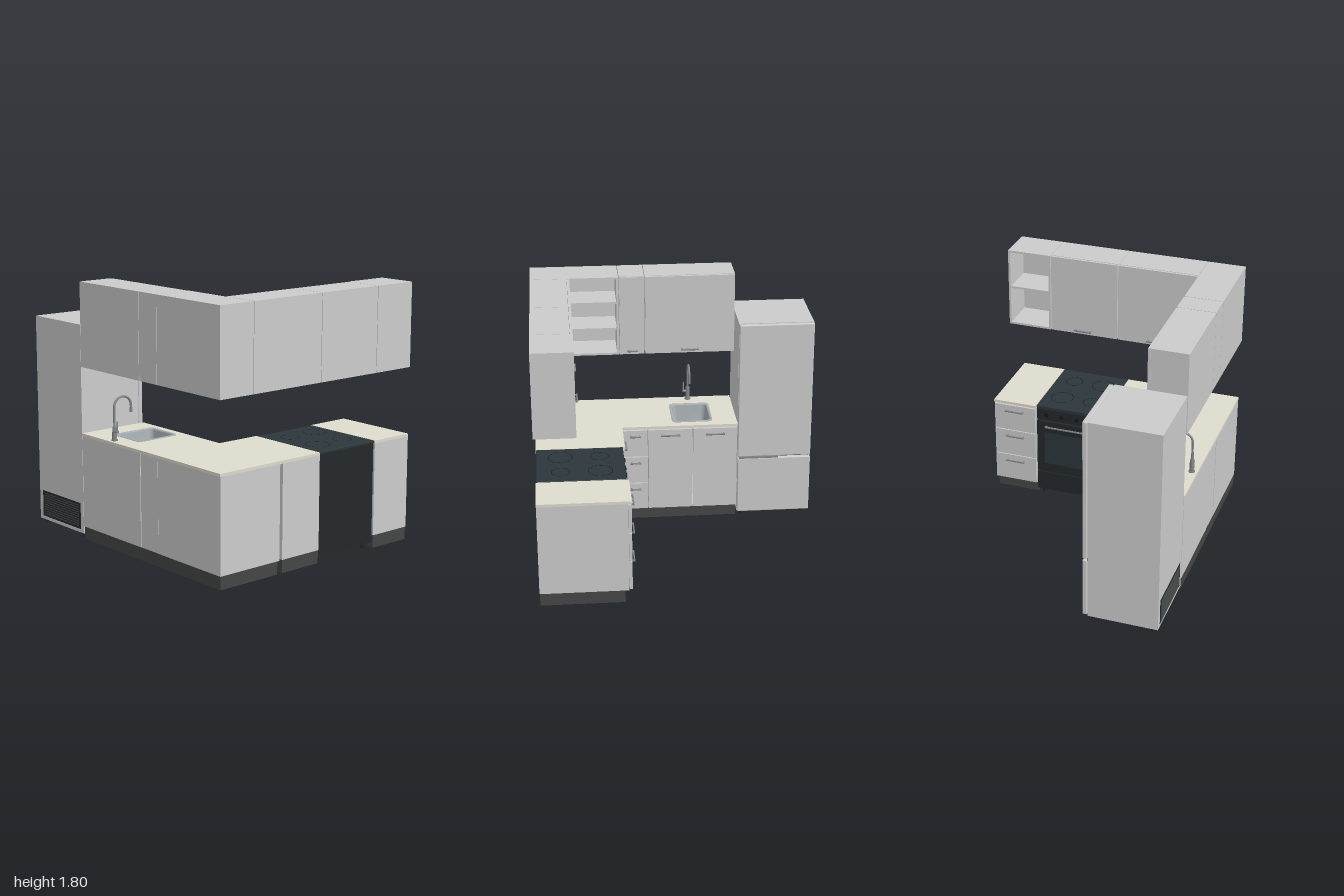
import * as THREE from 'three';
import { RoundedBoxGeometry } from 'three/addons/geometries/RoundedBoxGeometry.js';

const mat = (color, side = THREE.FrontSide) => new THREE.MeshStandardMaterial({ color, side });
const grey = mat(0xcccccc), plinthMat = mat(0x444645), stone = mat(0xdedbce);
const black = mat(0x23282b), glass = mat(0x2c363b), mark = mat(0x11171a);
const steel = mat(0x85888a), sinkMat = mat(0xa9b0b3, THREE.DoubleSide);

function add(parent, name, geo, m, x = 0, y = 0, z = 0) {
  const mesh = new THREE.Mesh(geo, m);
  mesh.name = name;
  mesh.position.set(x, y, z);
  parent.add(mesh);
  return mesh;
}

// Box given by its limits; r rounds the edges
function box(parent, name, [x0, x1], [y0, y1], [z0, z1], m = grey, r = 0) {
  const s = [x1 - x0, y1 - y0, z1 - z0];
  const geo = r ? new RoundedBoxGeometry(...s, 2, r) : new THREE.BoxGeometry(...s);
  return add(parent, name, geo, m, (x0 + x1) / 2, (y0 + y1) / 2, (z0 + z1) / 2);
}

function group(parent, name) {
  const g = new THREE.Group();
  g.name = name;
  parent.add(g);
  return g;
}

// Bar handle along x on a front at z, standing out towards -z
function handle(parent, x, y, z, len) {
  const g = group(parent, 'handle');
  box(g, 'handleBar', [x - len / 2, x + len / 2], [y - 0.006, y + 0.006], [z - 0.024, z - 0.014], steel, 0.003);
  for (const s of [-1, 1]) {
    const px = x + s * (len / 2 - 0.01);
    box(g, 'handlePost', [px - 0.005, px + 0.005], [y - 0.005, y + 0.005], [z - 0.016, z], steel);
  }
}

// Hollow carcass open towards -z, with shelves
function carcass(parent, name, [x0, x1], [y0, y1], [z0, z1], shelves = 0, openTop = false) {
  const g = group(parent, name), t = 0.015;
  box(g, 'sidePanel', [x0, x0 + t], [y0, y1], [z0, z1]);
  box(g, 'sidePanel', [x1 - t, x1], [y0, y1], [z0, z1]);
  box(g, 'backPanel', [x0 + t, x1 - t], [y0, y1], [z1 - t, z1]);
  box(g, 'bottomPanel', [x0 + t, x1 - t], [y0, y0 + t], [z0, z1 - t]);
  if (!openTop) box(g, 'topPanel', [x0 + t, x1 - t], [y1 - t, y1], [z0, z1 - t]);
  for (let i = 1; i <= shelves; i++) {
    const y = y0 + (y1 - y0) * i / (shelves + 1);
    box(g, 'shelf', [x0 + t, x1 - t], [y - t / 2, y + t / 2], [z0 + 0.01, z1 - t]);
  }
  return g;
}

// Three drawers with handles
function drawers(parent, [x0, x1], z, handleLen) {
  const h = (0.728 - 0.095) / 3;
  for (let i = 0; i < 3; i++) {
    const y = 0.095 + i * h;
    box(parent, 'drawerFront', [x0 + 0.004, x1 - 0.004], [y + 0.003, y + h - 0.003], [z, z + 0.02]);
    handle(parent, (x0 + x1) / 2, y + h - 0.045, z, handleLen);
  }
}

// Wall cabinet with one door
function wallCabinet(parent, [x0, x1], z0, z1, hx, len) {
  const g = group(parent, 'wallCabinet');
  box(g, 'cabinetBody', [x0 + 0.002, x1 - 0.002], [1.22, 1.805], [z0 + 0.02, z1]);
  box(g, 'cabinetDoor', [x0 + 0.004, x1 - 0.004], [1.222, 1.803], [z0, z0 + 0.018]);
  handle(g, hx, 1.25, z0, len);
}

function roundedRect(x0, x1, y0, y1, r, Type = THREE.Shape) {
  const s = new Type();
  s.absarc(x1 - r, y1 - r, r, 0, Math.PI / 2);
  s.absarc(x0 + r, y1 - r, r, Math.PI / 2, Math.PI);
  s.absarc(x0 + r, y0 + r, r, Math.PI, Math.PI * 1.5);
  s.absarc(x1 - r, y0 + r, r, Math.PI * 1.5, Math.PI * 2);
  s.closePath();
  return s;
}

// Sink bowl lofted through rounded rectangles from rim to floor
function sink(parent, cx, cz) {
  const g = group(parent, 'sink'), pos = [], idx = [], N = 32;
  const rings = [[0.147, 0.167, 0.755], [0.147, 0.167, 0.76], [0.132, 0.152, 0.76], [0.128, 0.148, 0.75],
    [0.118, 0.138, 0.63], [0.105, 0.125, 0.615], [0.02, 0.02, 0.61]];
  for (const [hx, hz, y] of rings) {
    const r = Math.min(0.035, hx);
    for (let k = 0; k < N; k++) {
      const q = Math.floor(k / 8), a = (q + (k % 8) / 7) * Math.PI / 2;
      const sx = q === 0 || q === 3 ? 1 : -1, sz = q < 2 ? 1 : -1;
      pos.push(cx + sx * (hx - r) + r * Math.cos(a), y, cz + sz * (hz - r) + r * Math.sin(a));
    }
  }
  for (let j = 0; j < rings.length - 1; j++) for (let k = 0; k < N; k++) {
    const a = j * N + k, b = j * N + (k + 1) % N;
    idx.push(a, a + N, b, b, a + N, b + N);
  }
  const geo = new THREE.BufferGeometry();
  geo.setAttribute('position', new THREE.Float32BufferAttribute(pos, 3));
  geo.setIndex(idx.reverse());
  geo.computeVertexNormals();
  add(g, 'bowl', geo, sinkMat);
  add(g, 'drain', new THREE.CylinderGeometry(0.024, 0.024, 0.006, 20), steel, cx, 0.612, cz);
}

function tap(parent, x, z) {
  const g = group(parent, 'tap');
  add(g, 'tapFoot', new THREE.CylinderGeometry(0.022, 0.022, 0.008, 24), steel, x, 0.759, z);
  add(g, 'tapBody', new THREE.CylinderGeometry(0.015, 0.017, 0.09, 24), steel, x, 0.805, z);
  const pts = [[0.84, z], [0.92, z]];
  for (let i = 0; i <= 8; i++) {
    const a = Math.PI * i / 8;
    pts.push([0.985 + 0.065 * Math.sin(a), z - 0.07 + 0.07 * Math.cos(a)]);
  }
  pts.push([0.945, z - 0.14]);
  const path = new THREE.CatmullRomCurve3(pts.map(p => new THREE.Vector3(x, p[0], p[1])));
  add(g, 'spout', new THREE.TubeGeometry(path, 48, 0.008, 10), steel);
  add(g, 'nozzle', new THREE.CylinderGeometry(0.01, 0.01, 0.03, 16), steel, x, 0.95, z - 0.14);
  add(g, 'leverHub', new THREE.CylinderGeometry(0.01, 0.01, 0.03, 16), steel, x + 0.022, 0.82, z).rotation.z = Math.PI / 2;
  add(g, 'lever', new THREE.CylinderGeometry(0.004, 0.005, 0.075, 10), steel, x + 0.032, 0.855, z);
}

function feet(parent, xs, zs, h) {
  for (const x of xs) for (const z of zs)
    add(parent, 'foot', new THREE.CylinderGeometry(0.018, 0.018, h, 16), black, x, h / 2, z);
}

function fridge(parent) {
  const g = group(parent, 'fridge'), X = [-1, -0.465];
  box(g, 'fridgeBody', X, [0.035, 1.51], [0.358, 0.847]);
  box(g, 'lowerDoor', X, [0.04, 0.475], [0.32, 0.353], grey, 0.008);
  box(g, 'upperDoor', X, [0.487, 1.51], [0.32, 0.353], grey, 0.008);
  box(g, 'doorSeal', [-0.99, -0.475], [0.05, 1.5], [0.35, 0.36], plinthMat);
  box(g, 'doorGrip', [-0.76, -0.475], [0.474, 0.488], [0.316, 0.35], steel);
  feet(g, [-0.96, -0.505], [0.39, 0.81], 0.036);
  // Rear vent
  box(g, 'ventPanel', [-0.96, -0.5], [0.06, 0.248], [0.84, 0.849], black);
  for (let i = 0; i < 10; i++)
    box(g, 'ventSlat', [-0.94, -0.52], [0.077 + i * 0.0165, 0.084 + i * 0.0165], [0.845, 0.853], plinthMat);
}

// Cooker in the side run's frame, facing -z
function cooker(parent) {
  const g = group(parent, 'cooker'), X = [0.014, 0.518];
  box(g, 'cookerBody', X, [0.04, 0.735], [0.405, 0.99], black);
  box(g, 'hob', [0.012, 0.52], [0.737, 0.757], [0.39, 0.995], glass, 0.004);
  box(g, 'controlPanel', X, [0.645, 0.733], [0.388, 0.405], black);
  box(g, 'ovenDoor', X, [0.205, 0.638], [0.385, 0.405], black, 0.004);
  box(g, 'ovenWindow', [0.075, 0.457], [0.28, 0.54], [0.383, 0.39], glass);
  box(g, 'lowerDrawer', X, [0.05, 0.198], [0.388, 0.405], black);
  handle(g, 0.266, 0.595, 0.387, 0.37);
  for (let i = 0; i < 4; i++)
    add(g, 'knob', new THREE.CylinderGeometry(0.014, 0.016, 0.012, 16), mark, 0.09 + i * 0.117, 0.69, 0.384).rotation.x = Math.PI / 2;
  for (const [x, z, r] of [[0.38, 0.56, 0.085], [0.15, 0.56, 0.065], [0.38, 0.83, 0.065], [0.15, 0.83, 0.085]])
    add(g, 'burnerRing', new THREE.RingGeometry(r - 0.004, r, 40), mark, x, 0.758, z).rotation.x = -Math.PI / 2;
  feet(g, [0.05, 0.48], [0.44, 0.95], 0.042);
}

export function createModel() {
  const kitchen = new THREE.Group();
  kitchen.name = 'kitchen';
  const main = group(kitchen, 'sinkRun');
  const side = group(kitchen, 'cookerRun');
  side.rotation.y = Math.PI / 2; // its x is the kitchen's -z, its z the kitchen's x

  fridge(kitchen);

  // Sink run: base cabinets
  box(main, 'plinth', [-0.455, 0.998], [0, 0.09], [0.362, 0.845], plinthMat);
  carcass(main, 'sinkCabinet', [-0.46, 0.188], [0.09, 0.735], [0.345, 0.848], 0, true);
  for (const x of [-0.46, -0.135]) {
    box(main, 'sinkDoor', [x + 0.003, x + 0.322], [0.098, 0.725], [0.323, 0.343]);
    handle(main, x + 0.162, 0.685, 0.323, 0.14);
  }
  box(main, 'drawerCabinet', [0.192, 0.372], [0.09, 0.735], [0.345, 0.846]);
  drawers(main, [0.19, 0.375], 0.323, 0.08);
  box(main, 'cornerCabinet', [0.376, 1], [0.09, 0.735], [0.345, 0.848]);

  // Worktop with the sink cut-out
  const top = new THREE.Shape([[-0.46, 0.32], [0.375, 0.32], [0.375, -0.008], [1, -0.008], [1, 0.85], [-0.46, 0.85]]
    .map(p => new THREE.Vector2(...p)));
  top.holes.push(roundedRect(-0.275, 0.001, 0.39, 0.706, 0.035, THREE.Path));
  add(kitchen, 'worktop', new THREE.ExtrudeGeometry(top, { depth: 0.02, bevelEnabled: false }), stone, 0, 0.755).rotation.x = Math.PI / 2;
  sink(main, -0.137, 0.548);
  tap(main, -0.14, 0.81);

  // Sink run: wall cabinets and open corner shelves
  wallCabinet(main, [-0.46, 0.19], 0.575, 0.85, -0.135, 0.13);
  wallCabinet(main, [0.19, 0.375], 0.575, 0.85, 0.28, 0.075);
  carcass(main, 'cornerShelves', [0.377, 1], [1.22, 1.805], [0.577, 0.85], 2);
  box(main, 'cornerDivider', [0.72, 0.735], [1.23, 1.795], [0.578, 0.84]);

  // Cooker run: base cabinets either side of the cooker
  for (const [x0, x1, hx] of [[-0.32, 0.008, -0.15], [0.524, 0.85, 0.695]]) {
    box(side, 'plinth', [x0 + 0.003, x1 - 0.003], [0, 0.09], [0.425, 0.995], plinthMat);
    box(side, 'drawerCabinet', [x0, x1], [0.09, 0.735], [0.398, 0.998]);
    drawers(side, [x0, x1], 0.376, 0.145);
  }
  box(side, 'endWorktop', [0.524, 0.85], [0.735, 0.755], [0.375, 1], stone);
  cooker(side);

  // Cooker run: wall cabinets and open end shelves
  wallCabinet(side, [-0.575, 0.01], 0.722, 1, -0.28, 0.13);
  wallCabinet(side, [0.01, 0.522], 0.722, 1, 0.27, 0.13);
  carcass(side, 'endShelves', [0.524, 0.85], [1.22, 1.805], [0.722, 1], 1);
  return kitchen;
}
